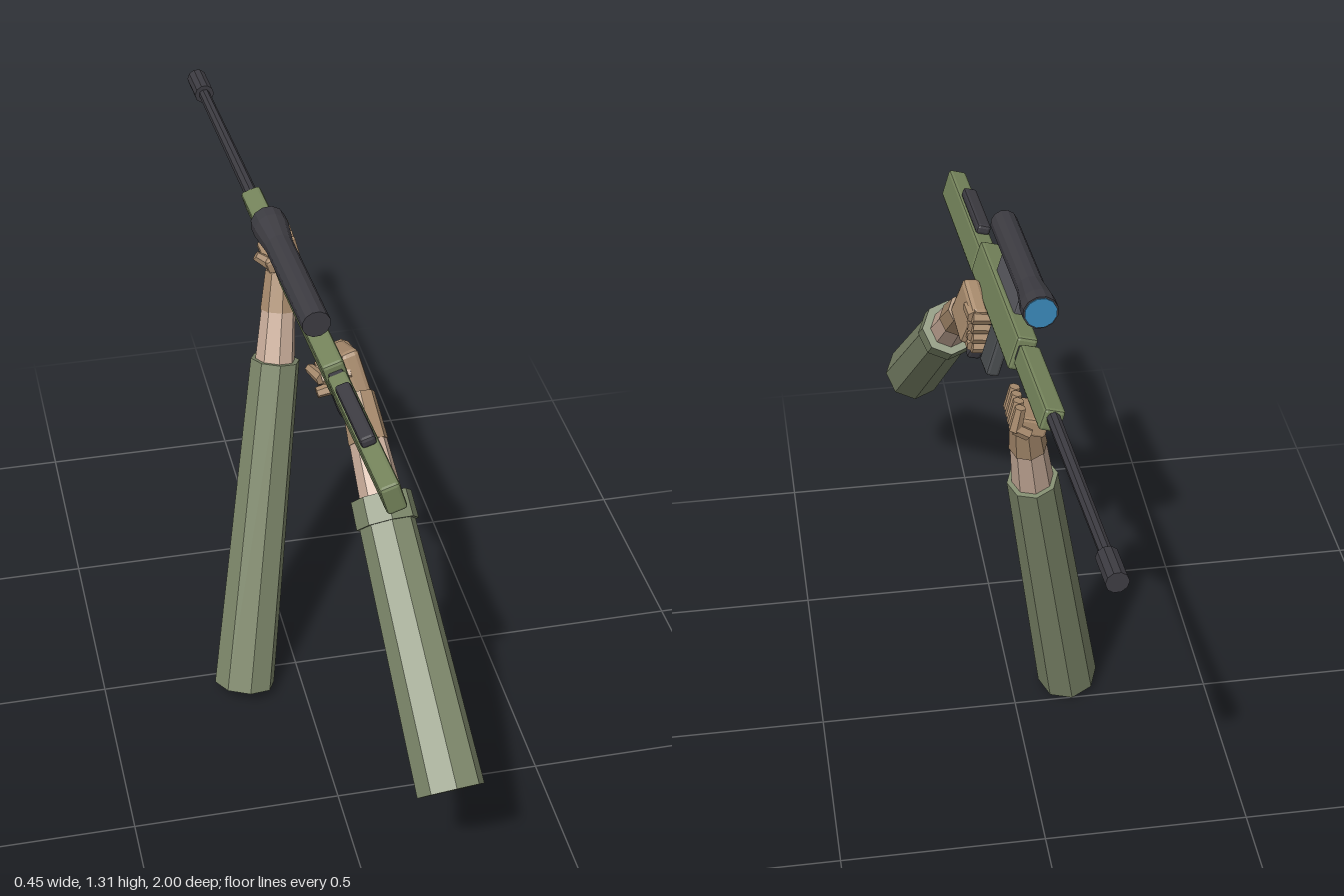
import * as THREE from 'three';
import { RoundedBoxGeometry } from 'three/addons/geometries/RoundedBoxGeometry.js';

const mat = (name, color) => Object.assign(new THREE.MeshStandardMaterial({ color }), { name });

export function createModel() {
  const sleeveGreen = mat('sleeve green', 0x7e886b);
  const gunGreen = mat('gun green', 0x76855c);
  const darkMetal = mat('dark metal', 0x3d3c42);
  const mountGrey = mat('mount grey', 0x59595f);
  const magGrey = mat('magazine grey', 0x494c4f);
  const skin = mat('skin', 0xcbaf9c);
  const glove = mat('glove tan', 0xa98c6e);
  const lensBlue = mat('lens blue', 0x3a87b8);

  const root = new THREE.Group();
  const V = (a) => new THREE.Vector3(...a);

  // Faceted mesh
  function add(parent, name, geo, material, pos = [0, 0, 0], rot = [0, 0, 0]) {
    const g = geo.index ? geo.toNonIndexed() : geo;
    g.computeVertexNormals();
    const m = new THREE.Mesh(g, material);
    m.name = name;
    m.position.set(...pos);
    m.rotation.set(...rot);
    parent.add(m);
    return m;
  }
  // Box with chamfered edges
  const box = (parent, name, size, pos, material, rot, bevel = 0.008) =>
    add(parent, name, new RoundedBoxGeometry(...size, 1, bevel), material, pos, rot);
  // Tapered prism between two points
  function limb(parent, name, a, b, ra, rb, material, sides = 8) {
    const A = V(a), B = V(b), d = B.clone().sub(A);
    const m = add(parent, name, new THREE.CylinderGeometry(rb, ra, d.length(), sides), material);
    m.position.copy(A).add(B).multiplyScalar(0.5);
    m.quaternion.setFromUnitVectors(new THREE.Vector3(0, 1, 0), d.normalize());
    return m;
  }
  const group = (name, parent = root) => {
    const g = new THREE.Group();
    g.name = name;
    parent.add(g);
    return g;
  };

  // Rifle, muzzle toward -z, slightly rolled, pitched and yawed
  const rifle = group('rifle');
  rifle.position.set(0, 1.15, 0);
  rifle.rotation.set(0.028, 0.05, 0.3, 'YXZ');
  box(rifle, 'stock', [0.046, 0.075, 0.415], [0, -0.018, 0.572], gunGreen);
  box(rifle, 'receiver', [0.052, 0.088, 0.46], [0, -0.005, 0.13], gunGreen);
  box(rifle, 'handguard', [0.05, 0.056, 0.28], [0, 0.008, -0.26], gunGreen);
  box(rifle, 'cheekPad', [0.036, 0.026, 0.205], [0, 0.03, 0.535], darkMetal);
  box(rifle, 'innerFrame', [0.034, 0.038, 0.5], [0, 0.0, 0.13], darkMetal, undefined, 0.004);
  box(rifle, 'scopeMount', [0.026, 0.055, 0.21], [0, 0.062, 0.115], mountGrey, undefined, 0.005);
  box(rifle, 'magazine', [0.034, 0.125, 0.08], [0, -0.095, 0.09], magGrey, [0.03, 0, 0]);
  box(rifle, 'pistolGrip', [0.036, 0.18, 0.062], [0, -0.115, 0.215], darkMetal, [-0.35, 0, 0]);
  limb(rifle, 'barrel', [0, 0.016, -0.38], [0, 0.016, -0.93], 0.016, 0.014, darkMetal);
  limb(rifle, 'muzzle', [0, 0.016, -0.91], [0, 0.016, -1.0], 0.025, 0.025, darkMetal, 10);

  // Scope profile turned around its long axis
  const profile = [[0, -0.31], [0.033, -0.31], [0.033, 0.01], [0.042, 0.085], [0.042, 0.12], [0, 0.12]];
  const scope = new THREE.LatheGeometry(profile.map((p) => new THREE.Vector2(...p)), 12);
  add(rifle, 'scope', scope, darkMetal, [0, 0.12, 0], [-Math.PI / 2, 0, 0]);
  limb(rifle, 'scopeLens', [0, 0.12, -0.116], [0, 0.12, -0.123], 0.038, 0.038, lensBlue, 12);

  // Support arm, reaching up to the handguard
  const support = group('supportArm');
  limb(support, 'sleeve', [-0.148, 0.025, 0.07], [-0.016, 0.848, -0.165], 0.077, 0.061, sleeveGreen);
  limb(support, 'forearm', [-0.018, 0.835, -0.161], [0.001, 0.978, -0.203], 0.05, 0.042, skin);
  limb(support, 'gloveCuff', [0.0, 0.968, -0.2], [0.011, 1.06, -0.229], 0.045, 0.037, glove);
  const supportHand = group('supportHand', support);
  box(supportHand, 'palm', [0.075, 0.045, 0.1], [0.01, 1.088, -0.258], glove, [0.03, 0.05, 0.3]);
  for (let i = 0; i < 4; i++) {
    const z = -0.222 - i * 0.028;
    limb(supportHand, 'finger', [0.015, 1.075, z], [0.046, 1.095, z], 0.016, 0.016, glove, 6);
    limb(supportHand, 'fingertip', [0.046, 1.09, z], [0.034, 1.148, z], 0.016, 0.013, glove, 6);
  }
  limb(supportHand, 'thumb', [-0.01, 1.08, -0.225], [-0.048, 1.105, -0.235], 0.016, 0.012, glove, 6);

  // Trigger arm, reaching forward to the pistol grip
  const trigger = group('triggerArm');
  limb(trigger, 'sleeve', [0.147, 0.422, 0.95], [0.1, 0.857, 0.482], 0.077, 0.064, sleeveGreen);
  limb(trigger, 'sleeveCuff', [0.103, 0.832, 0.508], [0.098, 0.876, 0.461], 0.072, 0.07, sleeveGreen);
  limb(trigger, 'forearm', [0.099, 0.868, 0.468], [0.088, 0.97, 0.362], 0.05, 0.043, skin);
  limb(trigger, 'gloveCuff', [0.089, 0.962, 0.37], [0.082, 1.038, 0.288], 0.046, 0.039, glove);
  const triggerHand = group('triggerHand', trigger);
  box(triggerHand, 'palm', [0.045, 0.12, 0.11], [0.076, 1.066, 0.233], glove, [-0.35, 0.1, 0.25], 0.012);
  for (let i = 0; i < 4; i++) {
    const y = 1.095 - i * 0.031, z = 0.166 + i * 0.006;
    limb(triggerHand, 'knuckle', [0.078, y, z + 0.045], [0.074, y - 0.005, z], 0.018, 0.017, glove, 6);
    limb(triggerHand, 'finger', [0.078, y - 0.005, z], [0.01, y - 0.018, z + 0.004], 0.017, 0.013, glove, 6);
  }
  limb(triggerHand, 'thumb', [0.07, 1.09, 0.27], [0.005, 1.075, 0.262], 0.018, 0.015, glove, 6);
  limb(triggerHand, 'thumbTip', [0.005, 1.075, 0.265], [-0.012, 1.07, 0.21], 0.015, 0.012, glove, 6);

  return root;
}
